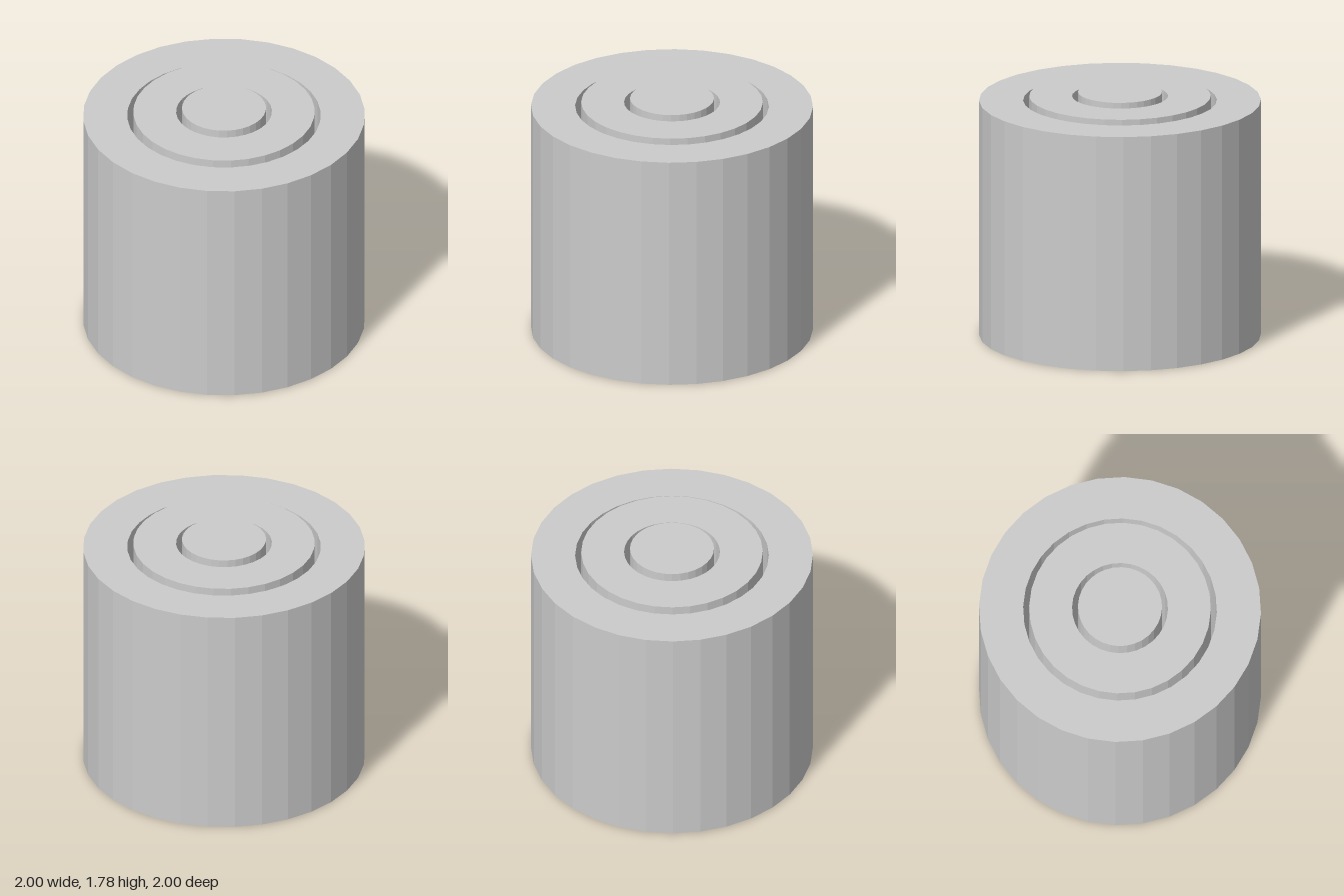
import * as THREE from 'three';

const SIDES = 32;

// Closed rectangular section turned around the y axis
function ring(name, inner, outer, height, material) {
  const section = [
    [inner, 0], [outer, 0], [outer, height], [inner, height], [inner, 0],
  ].map(([x, y]) => new THREE.Vector2(x, y));
  const mesh = new THREE.Mesh(new THREE.LatheGeometry(section, SIDES), material);
  mesh.name = name;
  return mesh;
}

export function createModel() {
  const group = new THREE.Group();
  group.name = 'nestedCylinders';
  const material = new THREE.MeshStandardMaterial({ color: 0xcccccc, flatShading: true });

  // Two open sleeves, separated by narrow through gaps
  group.add(ring('outerSleeve', 0.687, 1, 1.72, material));
  group.add(ring('middleSleeve', 0.34, 0.644, 1.75, material));

  // Solid core, slightly taller than the sleeves
  const coreHeight = 1.78;
  const core = new THREE.Mesh(
    new THREE.CylinderGeometry(0.298, 0.298, coreHeight, SIDES), material);
  core.name = 'core';
  core.position.y = coreHeight / 2;
  group.add(core);

  return group;
}
